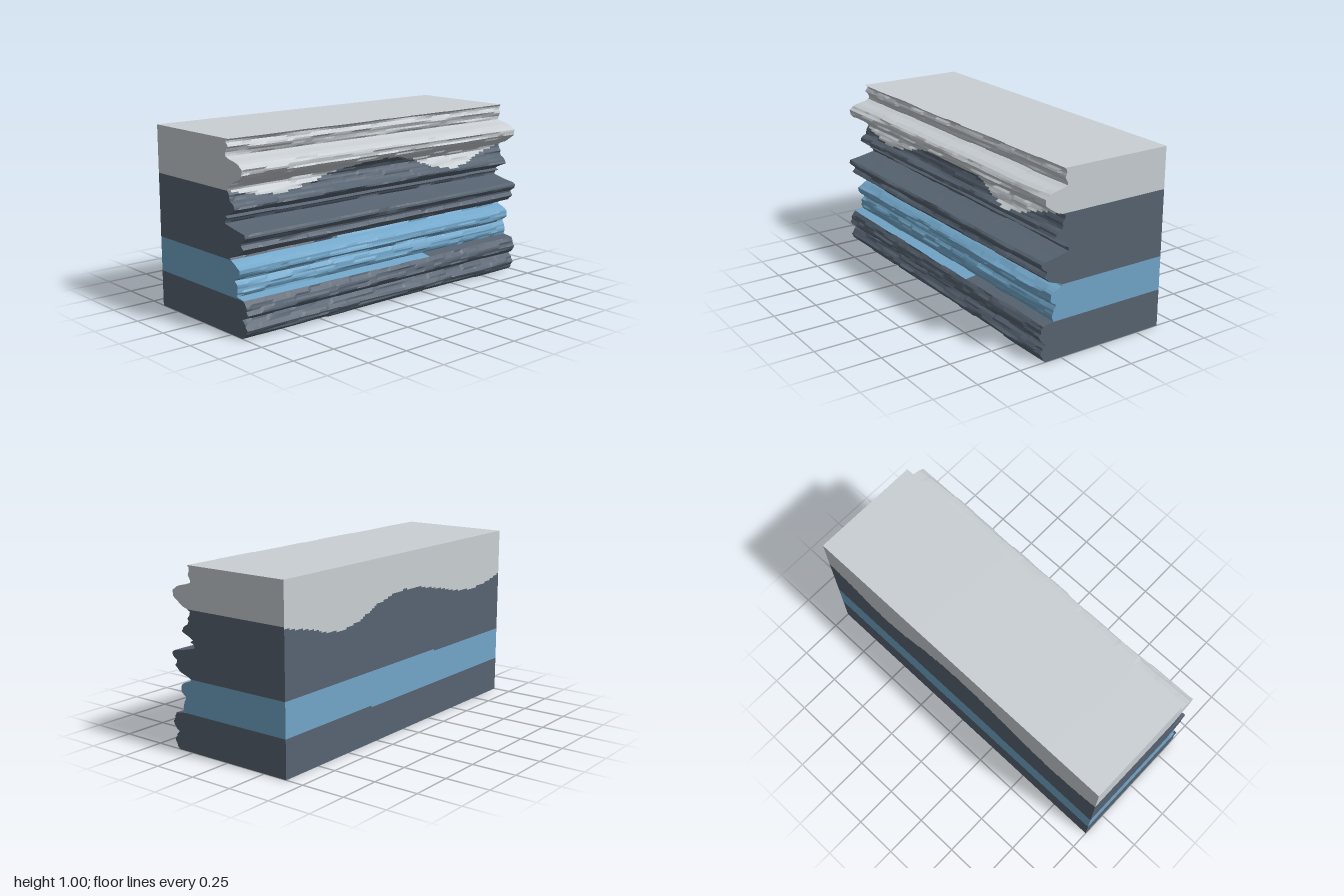
import * as THREE from 'three';

// front silhouette of the cliff face: height y, depth z
const PROFILE = [
  [0, .345], [.02, .37], [.05, .385], [.07, .37], [.1, .345], [.125, .388], [.15, .388], [.175, .38],
  [.2, .36], [.21, .30], [.235, .313], [.27, .308], [.295, .29], [.315, .325], [.35, .325], [.375, .29],
  [.395, .245], [.405, .26], [.43, .33], [.46, .365], [.485, .345], [.5, .365], [.525, .39], [.54, .37],
  [.555, .28], [.57, .21], [.59, .22], [.6, .24], [.61, .22], [.63, .26], [.65, .3], [.67, .293],
  [.69, .265], [.715, .255], [.74, .24], [.76, .25], [.78, .285], [.81, .335], [.83, .355], [.86, .36],
  [.885, .335], [.895, .29], [.905, .228], [.93, .238], [.955, .25], [.985, .235], [1, .255],
];
// lower edge of the pale cap along x
const CAP_EDGE = [[-1, .74], [-.85, .705], [-.68, .69], [-.5, .71], [-.35, .745], [-.15, .785], [0, .797],
  [.12, .787], [.25, .755], [.4, .695], [.55, .67], [.68, .685], [.8, .72], [1, .765]];

const NX = 100, NY = 100, BACK = -.395;

function lerpTable(table, t) {
  let k = 1;
  while (k < table.length - 1 && table[k][0] < t) k++;
  const [a, va] = table[k - 1], [b, vb] = table[k];
  return va + (vb - va) * THREE.MathUtils.clamp((t - a) / (b - a), 0, 1);
}

// repeatable value in 0..1 for a pair of integers
function hash(a, b) {
  let h = Math.imul(a + 101, 374761393) ^ Math.imul(b + 57, 668265263);
  h = Math.imul(h ^ (h >>> 13), 1274126177);
  return ((h ^ (h >>> 16)) >>> 0) / 4294967295;
}

function smoothNoise(t, seed) {
  const i = Math.floor(t), f = t - i, s = f * f * (3 - 2 * f);
  return hash(i, seed) * (1 - s) + hash(i + 1, seed) * s;
}

// depth of the weathered front: long ripples plus chipped slabs
function frontZ(i, j) {
  const x = -1 + 2 * i / NX, y = j / NY;
  const ripple = (smoothNoise((x + 1) * 4, Math.floor(j / 3)) - .6) * .010;
  const slab = Math.floor((x + 1) * 7 + hash(j >> 1, 900) * 5);
  const chip = (hash(slab, 300 + (j >> 1)) - .6) * .010;
  return Math.min(.395, lerpTable(PROFILE, y) + ripple + chip);
}

// which stratum a cell belongs to
function layerAt(x, y) {
  if (y > lerpTable(CAP_EDGE, x)) return 3;
  if (y > (x < -.3 ? .39 : .40)) return 2;
  return y > (x < .3 ? .20 : .21) ? 1 : 0;
}

export function createModel() {
  const makeMaterial = (name, color) => {
    const m = new THREE.MeshStandardMaterial({ color });
    m.name = name;
    return m;
  };
  const slate = makeMaterial('slate', 0x576371);
  const blue = makeMaterial('blue stone', 0x72a6c9);
  const pale = makeMaterial('pale stone', 0xc9cfd3);

  const layers = [
    { name: 'lowerSlate', material: slate, points: [] },
    { name: 'blueBand', material: blue, points: [] },
    { name: 'upperSlate', material: slate, points: [] },
    { name: 'paleCap', material: pale, points: [] },
  ];
  const quad = (layer, a, b, c, d) => layers[layer].points.push(...a, ...b, ...c, ...a, ...c, ...d);
  const X = i => -1 + 2 * i / NX, Y = j => j / NY;
  const front = (i, j) => [X(i), Y(j), frontZ(i, j)];
  const back = (i, j) => [X(i), Y(j), BACK];

  for (let i = 0; i < NX; i++) {
    // weathered front and flat back
    for (let j = 0; j < NY; j++) {
      const layer = layerAt(X(i + .5), Y(j + .5));
      quad(layer, front(i, j), front(i + 1, j), front(i + 1, j + 1), front(i, j + 1));
      quad(layer, back(i + 1, j), back(i, j), back(i, j + 1), back(i + 1, j + 1));
    }
    // top and underside
    quad(3, front(i, NY), front(i + 1, NY), back(i + 1, NY), back(i, NY));
    quad(0, back(i, 0), back(i + 1, 0), front(i + 1, 0), front(i, 0));
  }
  // cut ends
  for (let j = 0; j < NY; j++) {
    quad(layerAt(1, Y(j + .5)), front(NX, j), back(NX, j), back(NX, j + 1), front(NX, j + 1));
    quad(layerAt(-1, Y(j + .5)), back(0, j), front(0, j), front(0, j + 1), back(0, j + 1));
  }

  const group = new THREE.Group();
  group.name = 'layeredRockBlock';
  for (const { name, material, points } of layers) {
    const geometry = new THREE.BufferGeometry();
    geometry.setAttribute('position', new THREE.Float32BufferAttribute(points, 3));
    geometry.computeVertexNormals();
    const mesh = new THREE.Mesh(geometry, material);
    mesh.name = name;
    group.add(mesh);
  }
  return group;
}
